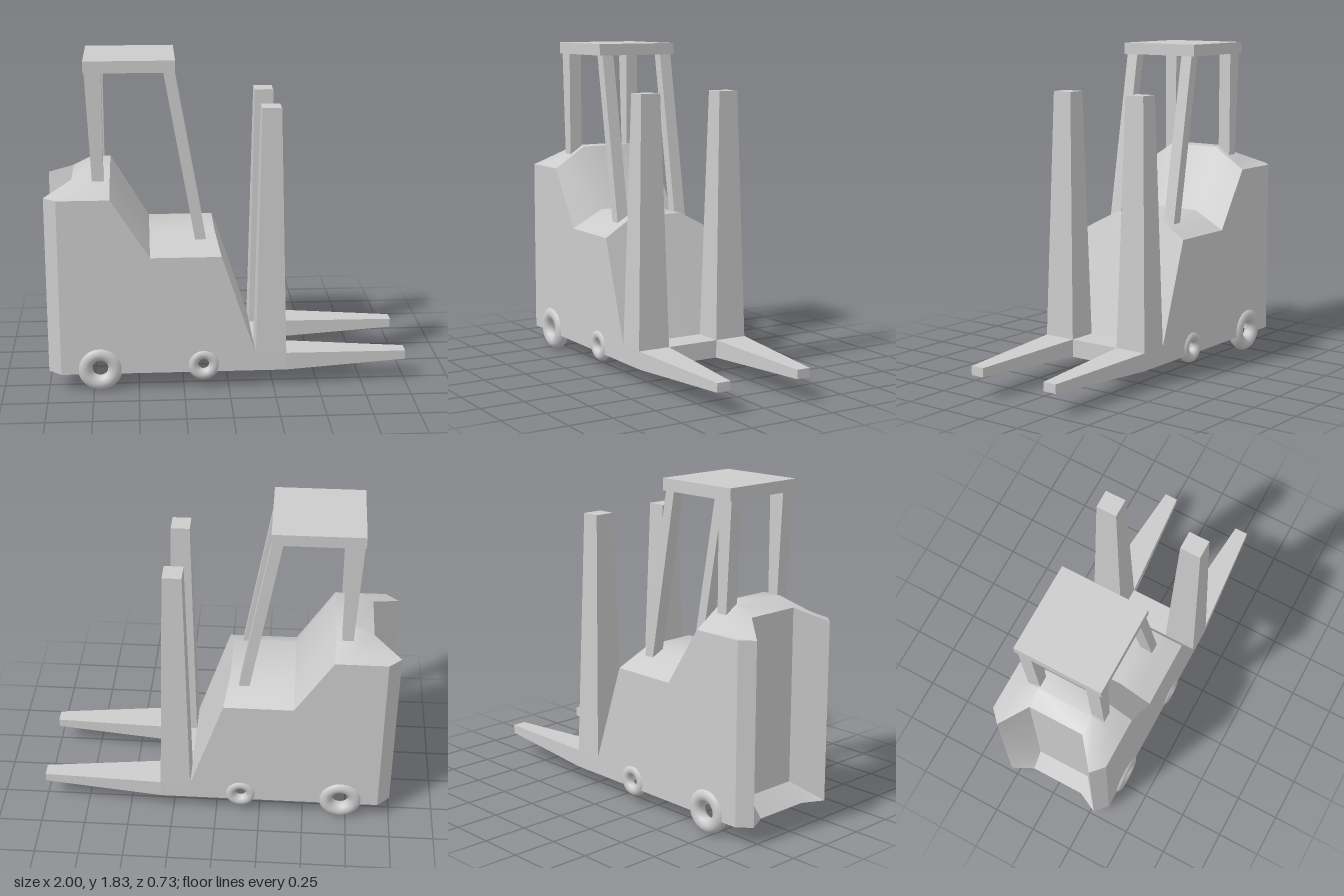
import * as THREE from 'three';
import { toCreasedNormals } from 'three/addons/utils/BufferGeometryUtils.js';

const grey = new THREE.MeshStandardMaterial({ color: 0xcccccc });
const WHEELS = [
  { name: 'rearWheel', x: -0.715, y: 0.128, z: 0.322, ring: 0.085, tube: 0.041 },
  { name: 'frontWheel', x: -0.14, y: 0.14, z: 0.325, ring: 0.06, tube: 0.031 },
];

function addMesh(group, name, geometry) {
  const mesh = new THREE.Mesh(geometry, grey);
  mesh.name = name;
  group.add(mesh);
  return mesh;
}

// Box whose two ends along one axis have different [min, max] ranges in x, y, z
function taper(axis, low, high) {
  const geometry = new THREE.BoxGeometry(1, 1, 1);
  const p = geometry.attributes.position;
  for (let i = 0; i < p.count; i++) {
    const v = [p.getX(i), p.getY(i), p.getZ(i)];
    const end = v[axis] > 0 ? high : low;
    p.setXYZ(i, ...v.map((c, k) => end[k][c > 0 ? 1 : 0]));
  }
  geometry.computeVertexNormals();
  return geometry;
}

// Side outline of the body; rise 0 is the outer wall, 1 the raised middle
function bodyProfile({ rise, rear, foot, rearTop, well }) {
  const pts = [[foot, 0.1]];
  for (const w of WHEELS) {
    // wheel arch, flattened to the floor where there is no well
    const r = w.ring + w.tube * 0.75;
    const start = Math.asin((w.y - 0.1) / r);
    for (let i = 0; i <= 8; i++) {
      const a = Math.PI + start - (i / 8) * (Math.PI + 2 * start);
      const y = w.y + r * Math.sin(a);
      pts.push([w.x + r * Math.cos(a), 0.1 + (y - 0.1) * well]);
    }
  }
  pts.push(
    [0.32, 0.1], [0.32, 0.2], [0.15, 0.2],
    [-0.04 - 0.03 * rise, 0.77 + 0.1 * rise], [-0.43, 0.77 + 0.1 * rise],
    [-0.64, 1.1 + 0.12 * rise], [-0.75, 1.1 + 0.12 * rise],
    [rear, rearTop], [rear, 0.2],
  );
  return pts;
}

// Body lofted across its width from upright slices
function bodyGeometry() {
  const half = [
    { z: 0.345, rise: 0, rear: -0.93, foot: -0.93, rearTop: 1.1, well: 1 },
    { z: 0.28, rise: 0.35, rear: -1, foot: -1, rearTop: 1.1, well: 1 },
    { z: 0.16, rise: 1, rear: -0.85, foot: -0.94, rearTop: 1.17, well: 0 },
  ];
  const slices = [...half.map((s) => ({ ...s, z: -s.z })), ...half.slice().reverse()];
  const loops = slices.map((s) => bodyProfile(s).map(([x, y]) => [x, y, s.z]));
  const n = loops[0].length;
  const out = [];
  for (let k = 0; k < loops.length - 1; k++) {
    for (let i = 0; i < n; i++) {
      const j = (i + 1) % n;
      const [a, b, c, d] = [loops[k][i], loops[k][j], loops[k + 1][j], loops[k + 1][i]];
      out.push(...a, ...b, ...c, ...a, ...c, ...d);
    }
  }
  // flat side walls
  const back = loops[0];
  const front = loops[loops.length - 1];
  const contour = front.map(([x, y]) => new THREE.Vector2(x, y));
  for (const [a, b, c] of THREE.ShapeUtils.triangulateShape(contour, [])) {
    out.push(...front[a], ...front[b], ...front[c], ...back[a], ...back[c], ...back[b]);
  }
  const geometry = new THREE.BufferGeometry();
  geometry.setAttribute('position', new THREE.Float32BufferAttribute(out, 3));
  return toCreasedNormals(geometry, 0.72);
}

export function createModel() {
  const model = new THREE.Group();
  model.name = 'forkliftTruck';

  addMesh(model, 'body', bodyGeometry());

  const roof = addMesh(model, 'roof', new THREE.BoxGeometry(0.49, 0.065, 0.49));
  roof.position.set(-0.525, 1.802, 0);

  for (const s of [1, -1]) {
    const side = s > 0 ? 'left' : 'right';
    const span = (a, b) => (s > 0 ? [a, b] : [-b, -a]);

    // roof posts
    addMesh(model, side + 'RearPost', taper(1,
      [[-0.735, -0.675], [1.15, 1.15], span(0.155, 0.23)],
      [[-0.765, -0.675], [1.775, 1.775], span(0.155, 0.23)]));
    addMesh(model, side + 'FrontPost', taper(1,
      [[-0.175, -0.115], [0.81, 0.81], span(0.155, 0.225)],
      [[-0.345, -0.285], [1.775, 1.775], span(0.155, 0.225)]));

    // lifting mast and fork
    addMesh(model, side + 'Mast', taper(1,
      [[0.15, 0.32], [0.2, 0.2], span(0.155, 0.345)],
      [[0.18, 0.285], [1.585, 1.585], span(0.19, 0.308)]));
    addMesh(model, side + 'Fork', taper(0,
      [[0.32, 0.32], [0.1, 0.2], span(0.155, 0.345)],
      [[1, 1], [0.125, 0.175], span(0.21, 0.29)]));

    // ring-shaped wheels
    for (const w of WHEELS) {
      const wheel = addMesh(model, side + w.name[0].toUpperCase() + w.name.slice(1),
        new THREE.TorusGeometry(w.ring, w.tube, 16, 36));
      wheel.position.set(w.x, w.y, s * w.z);
    }
  }
  return model;
}
